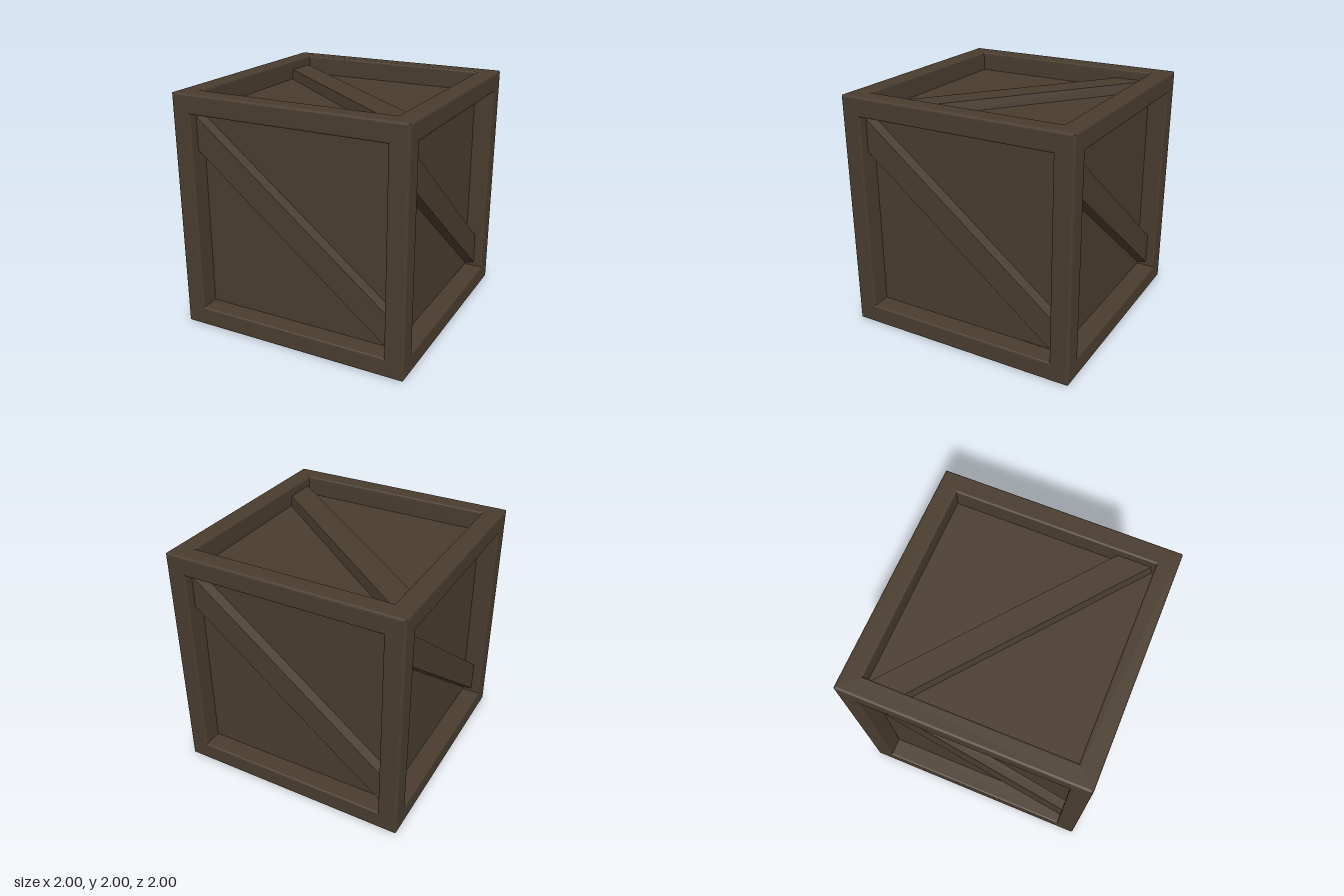
import * as THREE from 'three';

const wood = new THREE.MeshStandardMaterial({ color: 0x4a3d2f });
wood.name = 'dark wood';

const INNER = 0.838;  // half width of the opening in each side
const PANEL = 0.835;  // distance of the panel from the crate centre
const RISE = 0.085;   // thickness of the brace
const SLOPE = 0.796;  // fall of the brace per unit of width

function faceted(geometry) {
  const g = geometry.toNonIndexed();
  g.computeVertexNormals();
  return g;
}

// Square frame with a rounded outer edge and a rounded inner lip, swept on four sides
function frameGeometry() {
  const profile = [];
  const add = (x, y) => profile.push(new THREE.Vector2(x * Math.SQRT2, y));
  const outer = 0.02, lip = 0.015;
  for (let i = 2; i >= 0; i--) {
    const a = i * Math.PI / 8;
    add(1 - outer + outer * Math.sin(a), 1 - outer + outer * Math.cos(a));
  }
  for (let i = 0; i <= 3; i++) {
    const a = i * Math.PI / 6;
    add(INNER + lip - lip * Math.sin(a), 1 - lip + lip * Math.cos(a));
  }
  add(INNER, PANEL);
  const g = new THREE.LatheGeometry(profile, 4, Math.PI / 4);
  g.rotateX(Math.PI / 2);
  return faceted(g);
}

// Diagonal board with slightly tapered long sides and upright ends
function braceGeometry() {
  const g = new THREE.BoxGeometry(INNER * 2, 1, RISE);
  const p = g.attributes.position;
  for (let i = 0; i < p.count; i++) {
    const half = p.getZ(i) > 0 ? 0.137 : 0.155;
    p.setY(i, Math.sign(p.getY(i)) * half - SLOPE * p.getX(i));
  }
  g.translate(0, 0, PANEL + RISE / 2);
  return faceted(g);
}

export function createModel() {
  const crate = new THREE.Group();
  crate.name = 'crate';

  const parts = {
    frame: frameGeometry(),
    panel: new THREE.PlaneGeometry(INNER * 2, INNER * 2).translate(0, 0, PANEL),
    brace: braceGeometry(),
  };

  // The same side, turned to face each of the six directions
  const q = Math.PI / 2;
  const sides = {
    front: [0, 0], right: [0, q], back: [0, 2 * q], left: [0, -q],
    top: [-q, 0], bottom: [q, 0],
  };
  // Names follow the crate's own left (+x) and right (-x)
  const ownName = { right: 'left', left: 'right' };
  for (const [key, [rx, ry]] of Object.entries(sides)) {
    const side = new THREE.Group();
    side.name = (ownName[key] || key) + 'Side';
    side.rotation.set(rx, ry, 0);
    side.position.y = 1;
    for (const [name, geometry] of Object.entries(parts)) {
      const mesh = new THREE.Mesh(geometry, wood);
      mesh.name = name;
      side.add(mesh);
    }
    crate.add(side);
  }
  return crate;
}
